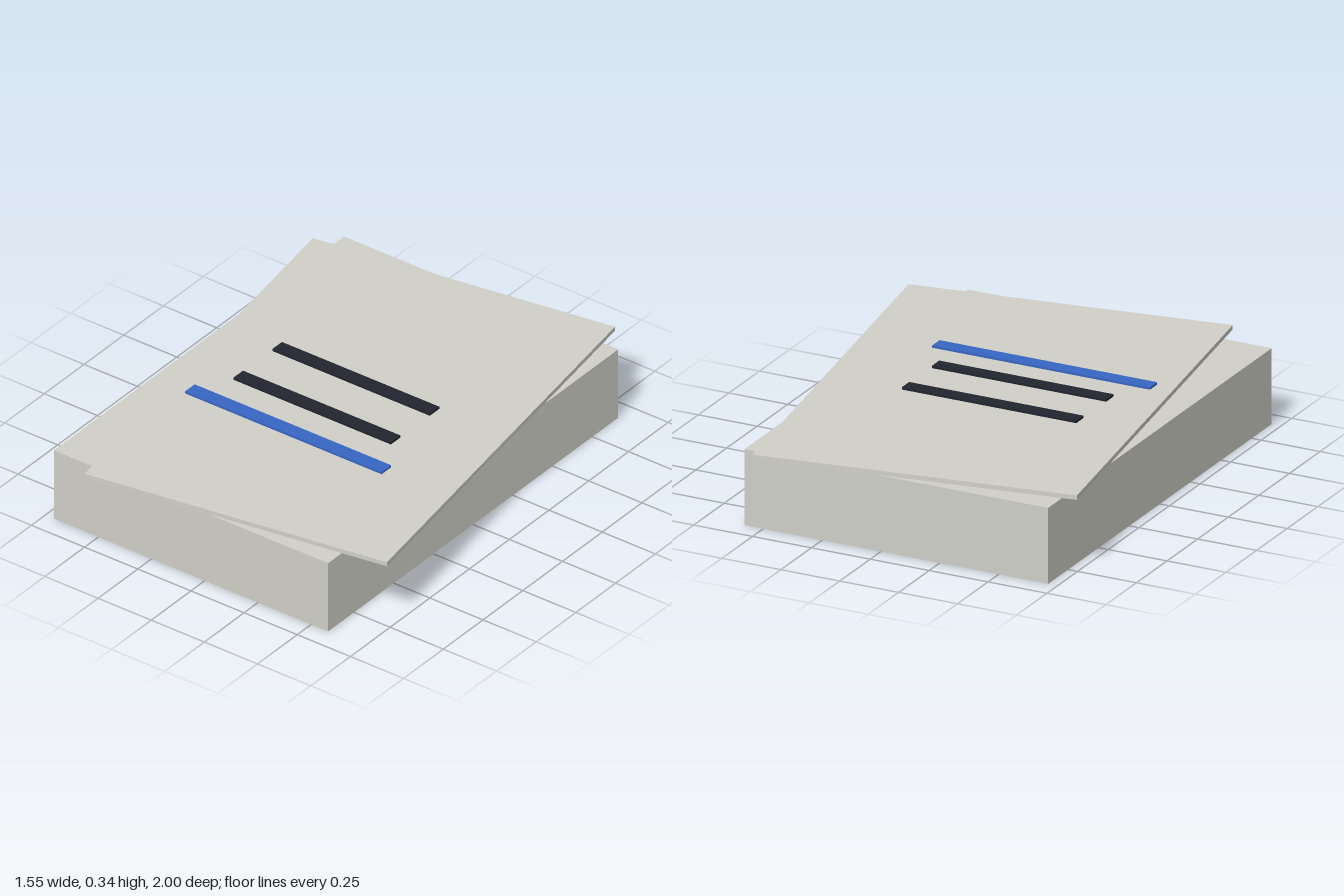
import * as THREE from 'three';

export function createModel() {
  const group = new THREE.Group();
  const material = (name, color) => {
    const m = new THREE.MeshStandardMaterial({ color });
    m.name = name;
    return m;
  };
  const paper = material('paper grey', 0xd0d0c8);
  const ink = material('dark ink', 0x22242f);
  const blue = material('blue ink', 0x3866c4);

  // Box given by its size, centre x and z, and underside height
  const box = (name, mat, w, h, d, x, y, z) => {
    const mesh = new THREE.Mesh(new THREE.BoxGeometry(w, h, d), mat);
    mesh.name = name;
    mesh.position.set(x, y + h / 2, z);
    group.add(mesh);
    return mesh;
  };

  // Squared stack with a loose, turned sheet on top
  box('paperStack', paper, 1.29, 0.308, 1.826, -0.065, 0, 0);
  box('topSheet', paper, 1.29, 0.018, 1.826, 0, 0.314, 0).rotation.y = 0.152;

  // Printed lines, square to the stack
  for (const z of [-0.125, 0.12]) box('textLine', ink, 0.74, 0.0095, 0.06, -0.065, 0.332, z);
  box('signatureLine', blue, 0.924, 0.0095, 0.06, -0.063, 0.332, 0.304);

  return group;
}
